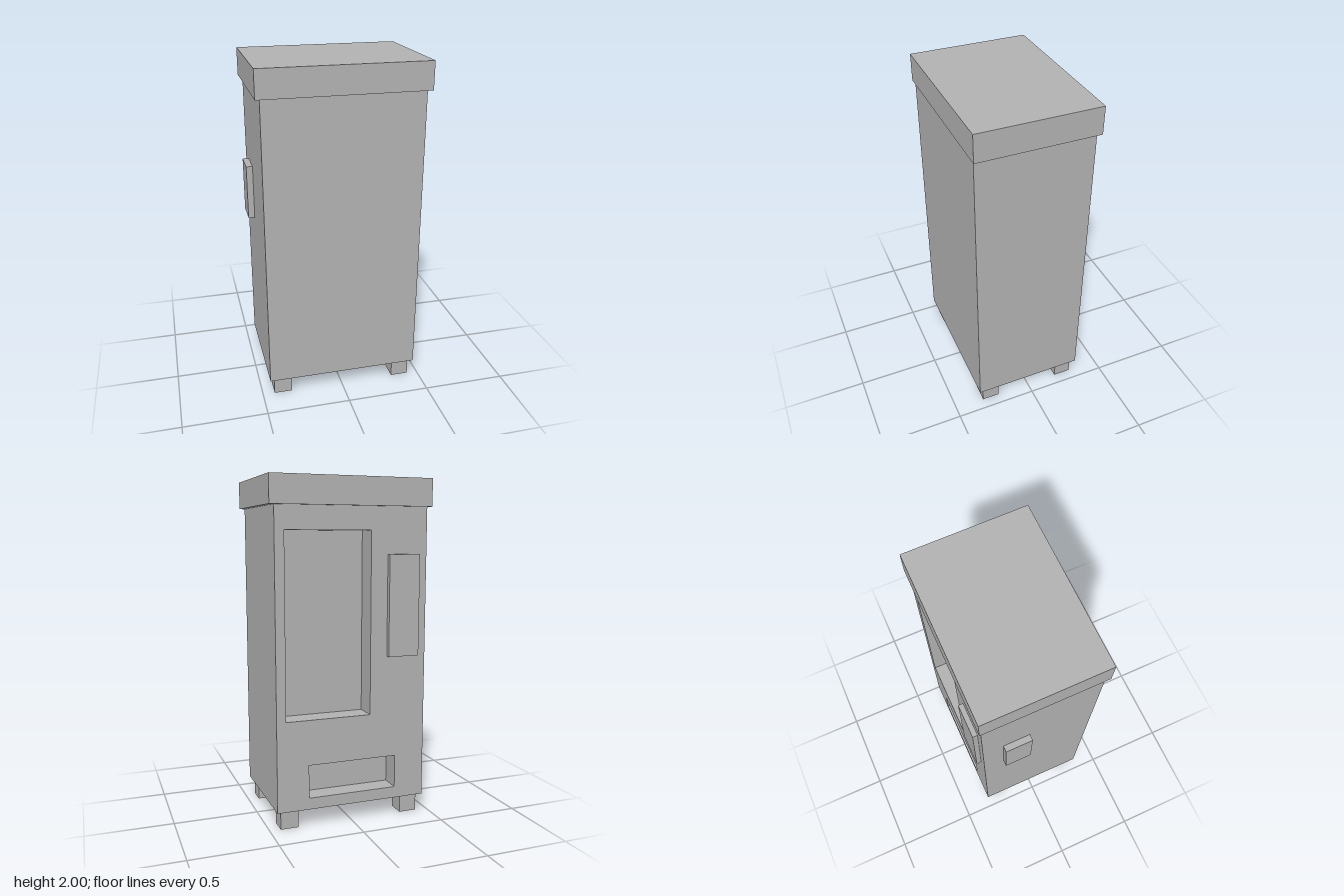
import * as THREE from 'three';

export function createModel() {
  const model = new THREE.Group();
  model.name = 'vendingMachine';
  const grey = new THREE.MeshStandardMaterial({ color: 0xb2b2b2 });
  grey.name = 'grey';

  // Box given by its extents along each axis
  function box(name, [x0, x1], [y0, y1], [z0, z1]) {
    const mesh = new THREE.Mesh(new THREE.BoxGeometry(x1 - x0, y1 - y0, z1 - z0), grey);
    mesh.position.set((x0 + x1) / 2, (y0 + y1) / 2, (z0 + z1) / 2);
    mesh.name = name;
    model.add(mesh);
  }

  function rect(Type, [x0, x1], [y0, y1]) {
    return new Type([[x0, y0], [x1, y0], [x1, y1], [x0, y1]].map(([x, y]) => new THREE.Vector2(x, y)));
  }

  const bodyX = [-0.455, 0.46], bodyY = [0.11, 1.84];
  const backZ = -0.33, recess = 0.135;
  const slotX = [-0.27, 0.27], slotY = [0.178, 0.374];

  // Cabinet, with the display window and dispensing slot sunk into its -z side
  box('cabinet', bodyX, bodyY, [backZ + recess, 0.345]);
  const panel = rect(THREE.Shape, bodyX, bodyY);
  panel.holes.push(
    rect(THREE.Path, [-0.107, 0.404], [0.64, 1.705]),
    rect(THREE.Path, slotX, slotY),
  );
  const servicePanel = new THREE.Mesh(
    new THREE.ExtrudeGeometry(panel, { depth: recess, bevelEnabled: false }), grey);
  servicePanel.position.z = backZ;
  servicePanel.name = 'servicePanel';
  model.add(servicePanel);
  // The slot is slightly shallower than the window
  box('slotBack', slotX, slotY, [backZ + 0.122, backZ + recess]);

  // Overhanging lid
  box('lid', [-0.48, 0.49], [1.84, 2], [-0.345, 0.355]);

  // Raised control plate and side box
  box('controlPlate', [-0.4, -0.21], [0.98, 1.57], [-0.358, backZ]);
  box('sideBox', [-0.492, -0.455], [1.03, 1.355], [-0.21, -0.05]);

  // Feet
  for (const x of [[-0.428, -0.32], [0.328, 0.435]])
    for (const z of [[-0.303, -0.196], [0.21, 0.317]])
      box('foot', x, [0, 0.11], z);

  return model;
}
